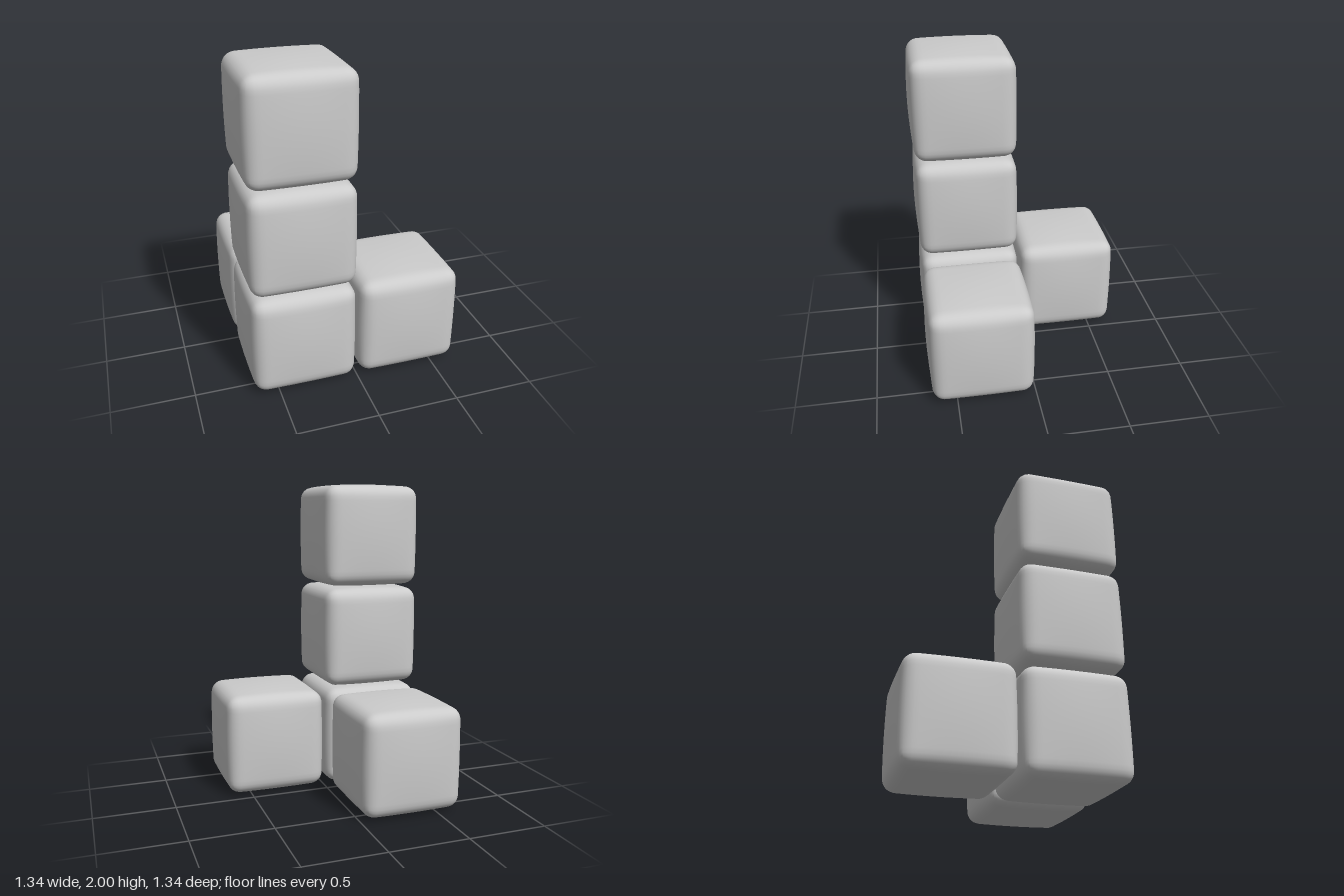
import * as THREE from 'three';
import { mergeVertices } from 'three/addons/utils/BufferGeometryUtils.js';

const HALF = 0.317;    // half size at the cube edges
const RADIUS = 0.075;  // edge rounding
const BULGE = 0.06;    // pillow swell of each face
const STEP = 0.664;    // spacing between cubes

// Soft cube: a grid box with rounded edges and gently swollen faces
function softCube() {
  let geo = new THREE.BoxGeometry(2, 2, 2, 24, 24, 24);
  geo.deleteAttribute('uv');
  geo.deleteAttribute('normal');
  geo = mergeVertices(geo);
  const pos = geo.attributes.position;
  const p = new THREE.Vector3(), core = new THREE.Vector3();
  const inner = HALF - RADIUS;
  const crowd = t => HALF * Math.sin(t * Math.PI / 2); // finer grid near the edges
  const swell = (a, b) => 1 + BULGE * (1 - (a / HALF) ** 2) * (1 - (b / HALF) ** 2);
  for (let i = 0; i < pos.count; i++) {
    p.fromBufferAttribute(pos, i);
    p.set(crowd(p.x), crowd(p.y), crowd(p.z));
    core.copy(p).clampScalar(-inner, inner);
    p.sub(core).setLength(RADIUS).add(core);
    const { x, y, z } = p;
    pos.setXYZ(i, x * swell(y, z), y * swell(x, z), z * swell(x, y));
  }
  geo.computeVertexNormals();
  return geo;
}

export function createModel() {
  const group = new THREE.Group();
  group.name = 'stackedCubes';
  const geo = softCube();
  const mat = new THREE.MeshStandardMaterial({ color: 0xcccccc });

  // Cube cells: [name, column in x, level, row in z]
  const cells = [
    ['cornerCube', -1, 0, 1],
    ['middleCube', -1, 1, 1],
    ['topCube', -1, 2, 1],
    ['leftCube', 1, 0, 1],
    ['backCube', -1, 0, -1],
  ];
  for (const [name, cx, level, cz] of cells) {
    const cube = new THREE.Mesh(geo, mat);
    cube.name = name;
    cube.position.set(cx * STEP / 2, HALF * (1 + BULGE) + level * STEP, cz * STEP / 2);
    group.add(cube);
  }
  return group;
}
